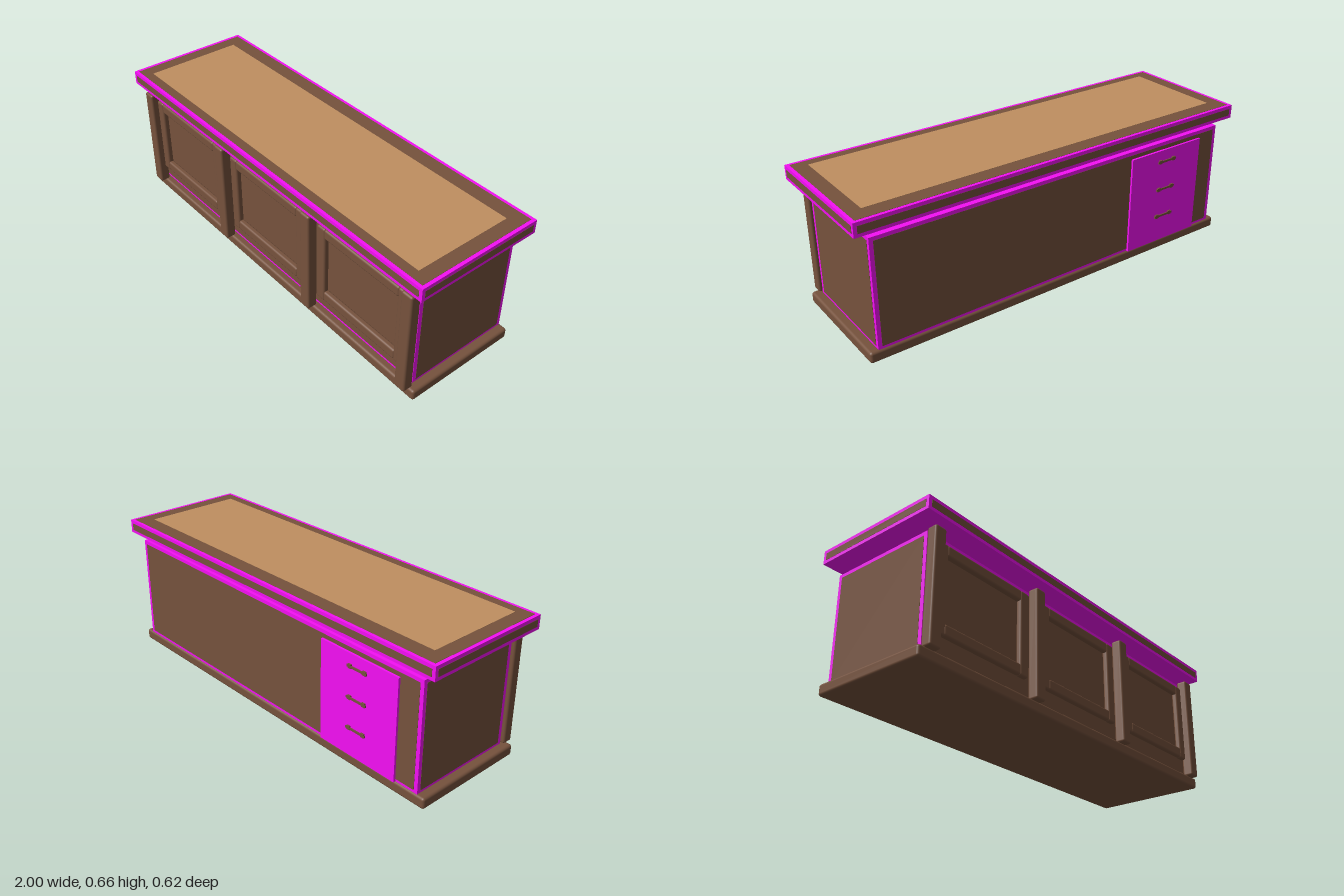
import * as THREE from 'three';
import { RoundedBoxGeometry } from 'three/addons/geometries/RoundedBoxGeometry.js';

const wood = new THREE.MeshStandardMaterial({ color: 0x76523d });
const tan = new THREE.MeshStandardMaterial({ color: 0xc08f60 });
const magenta = new THREE.MeshStandardMaterial({ color: 0xf510f5 });

// Box given by its [min, max] range on each axis; radius > 0 rounds the edges
function block(parent, name, material, [x0, x1], [y0, y1], [z0, z1], radius = 0) {
  const size = [x1 - x0, y1 - y0, z1 - z0];
  const geometry = radius
    ? new RoundedBoxGeometry(...size, 3, radius)
    : new THREE.BoxGeometry(...size);
  const mesh = new THREE.Mesh(geometry, material);
  mesh.name = name;
  mesh.position.set((x0 + x1) / 2, (y0 + y1) / 2, (z0 + z1) / 2);
  parent.add(mesh);
  return mesh;
}

// Rounded four-piece frame around one front panel
function panelFrame(cx) {
  const frame = new THREE.Group();
  frame.name = 'panelFrame';
  const half = 0.265, bar = 0.05, z = [0.238, 0.267];
  for (const s of [-1, 1]) {
    const x = [s * half, s * (half - bar)].sort((a, b) => a - b);
    block(frame, 'frameStile', wood, x, [0.132, 0.528], z, 0.01);
  }
  for (const y of [0.134, 0.478]) {
    block(frame, 'frameRail', wood, [-half + 0.045, half - 0.045], [y, y + bar], z, 0.01);
  }
  frame.position.x = cx;
  return frame;
}

// Drawer pull: slim bar on two posts with knobbed ends
function drawerPull(x, y) {
  const pull = new THREE.Group();
  pull.name = 'drawerPull';
  block(pull, 'pullBar', wood, [-0.055, 0.055], [-0.005, 0.005], [-0.302, -0.297]);
  for (const s of [-1, 1]) {
    const cx = s * 0.04;
    block(pull, 'pullPost', wood, [cx - 0.009, cx + 0.009], [-0.009, 0.009], [-0.302, -0.292]);
  }
  pull.position.set(x, y, 0);
  return pull;
}

export function createModel() {
  const desk = new THREE.Group();
  desk.name = 'counter';
  const e = 0.001; // facings stand just proud of the carcass

  // Plinth
  block(desk, 'base', wood, [-0.97, 0.97], [0, 0.052], [-0.29, 0.27], 0.012);

  // Carcass with inset wood facings on the ends, front and back
  block(desk, 'body', magenta, [-0.93, 0.93], [0.045, 0.563], [-0.283, 0.237]);
  block(desk, 'endFacing', wood, [-0.93 - e, 0.93 + e], [0.063, 0.546], [-0.266, 0.219]);
  block(desk, 'longFacing', wood, [-0.912, 0.912], [0.063, 0.546], [-0.283 - e, 0.237 + e]);

  // Front pillars and framed panels
  for (const x of [-0.913, -0.311, 0.311, 0.913]) {
    block(desk, 'pillar', wood, [x - 0.029, x + 0.029], [0.047, 0.564], [0.247, 0.298], 0.01);
  }
  for (const x of [-0.623, 0, 0.623]) desk.add(panelFrame(x));

  // Drawer stack on the back
  block(desk, 'drawerFront', magenta, [-0.815, -0.388], [0.05, 0.527], [-0.294, -0.28]);
  for (const y of [0.186, 0.329, 0.472]) desk.add(drawerPull(-0.6, y));

  // Floating top slab with facings and a writing surface
  block(desk, 'topSlab', magenta, [-1 + e, 1 - e], [0.595, 0.659], [-0.31, 0.31]);
  block(desk, 'topEndFacing', wood, [-1, 1], [0.61, 0.643], [-0.295, 0.295]);
  block(desk, 'topLongFacing', wood, [-0.983, 0.983], [0.61, 0.643], [-0.311, 0.311]);
  block(desk, 'topFacing', wood, [-0.983, 0.983], [0.62, 0.66], [-0.295, 0.295]);
  block(desk, 'writingSurface', tan, [-0.92, 0.92], [0.64, 0.661], [-0.224, 0.252]);

  return desk;
}
